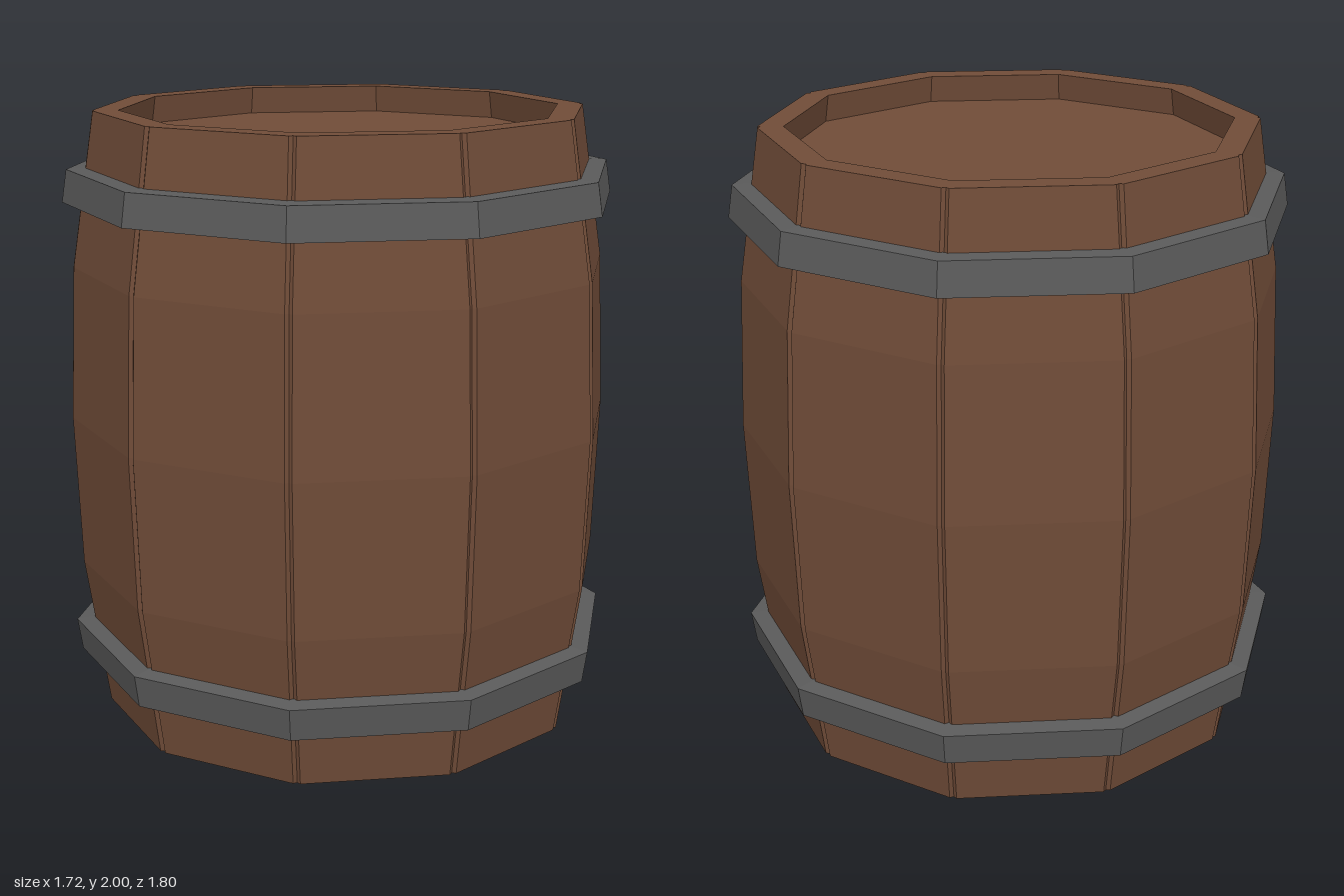
import * as THREE from 'three';

const SIDES = 10;
const HALF = Math.PI / SIDES;

// Flat-shaded version of a geometry
function faceted(geometry) {
  const g = geometry.index ? geometry.toNonIndexed() : geometry;
  g.computeVertexNormals();
  return g;
}

// One bulging stave: a six-sided section with bevelled outer edges, stacked up the barrel
function staveGeometry() {
  const profile = [[0.8, 0], [0.876, 0.5], [0.896, 1], [0.876, 1.5], [0.8, 2]];
  const wall = 0.085, bevel = 0.012;
  const c = Math.cos(HALF), s = Math.sin(HALF);
  const positions = [], index = [], n = 6;
  for (const [r, y] of profile) {
    const inner = r - wall, groove = r - bevel;
    const right = [[r * s - bevel, r * c], [groove * s, groove * c], [inner * s, inner * c]];
    const left = right.map(([x, z]) => [-x, z]).reverse();
    for (const [x, z] of [...left, ...right]) positions.push(x, y, z);
  }
  for (let k = 0; k < profile.length - 1; k++) {
    for (let j = 0; j < n; j++) {
      const a = k * n + j, b = k * n + (j + 1) % n;
      index.push(a, b, b + n, a, b + n, a + n);
    }
  }
  const top = (profile.length - 1) * n;
  for (let j = 1; j < n - 1; j++) {
    index.push(top, top + j, top + j + 1);
    index.push(0, j + 1, j);
  }
  const g = new THREE.BufferGeometry();
  g.setAttribute('position', new THREE.Float32BufferAttribute(positions, 3));
  g.setIndex(index);
  return faceted(g);
}

// Ten-sided band with a slightly tilted rectangular section
function hoopGeometry(upper) {
  let section = [[0.835, 1.7], [0.902, 1.71], [0.886, 1.815], [0.82, 1.82], [0.835, 1.7]];
  if (!upper) section = section.map(([r, y]) => [r, 2 - y]).reverse();
  return faceted(new THREE.LatheGeometry(section.map(([r, y]) => new THREE.Vector2(r, y)), SIDES));
}

export function createModel() {
  const wood = new THREE.MeshStandardMaterial({ color: 0x704c38 });
  wood.name = 'brown wood';
  const iron = new THREE.MeshStandardMaterial({ color: 0x5a5a5a });
  iron.name = 'grey iron';

  const model = new THREE.Group();
  model.name = 'barrel';
  const add = (name, geometry, material) => {
    const mesh = new THREE.Mesh(geometry, material);
    mesh.name = name;
    model.add(mesh);
    return mesh;
  };

  // Staves
  const stave = staveGeometry();
  for (let i = 0; i < SIDES; i++) {
    add(`stave${i + 1}`, stave, wood).rotation.y = HALF * (2 * i + 1);
  }

  // Recessed lid and base
  const disc = faceted(new THREE.CylinderGeometry(0.745, 0.745, 0.06, SIDES));
  add('lid', disc, wood).position.y = 1.88;
  add('base', disc, wood).position.y = 0.12;

  // Hoops
  add('upperHoop', hoopGeometry(true), iron);
  add('lowerHoop', hoopGeometry(false), iron);

  return model;
}
